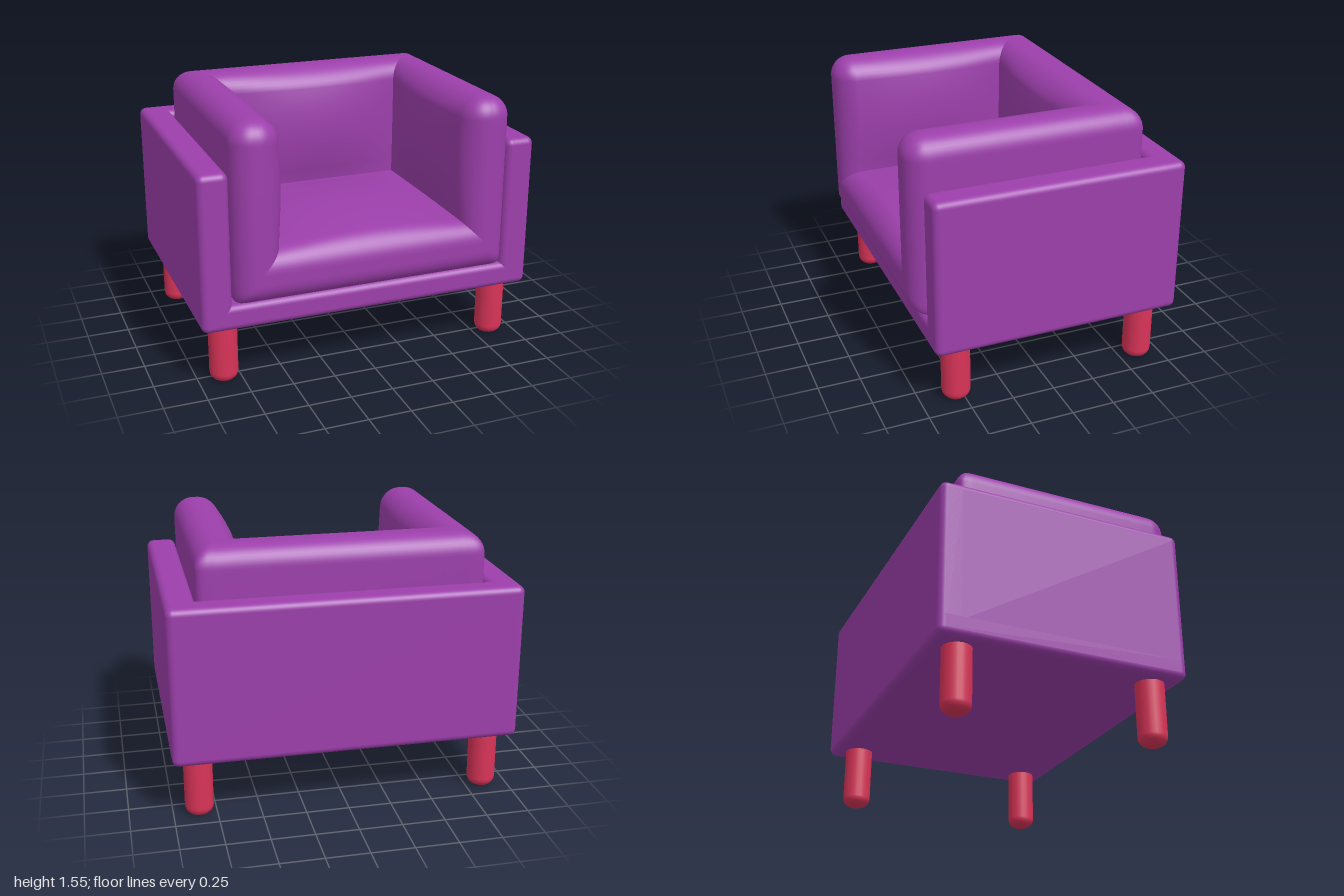
import * as THREE from 'three';
import { mergeVertices } from 'three/addons/utils/BufferGeometryUtils.js';
import { RoundedBoxGeometry } from 'three/addons/geometries/RoundedBoxGeometry.js';

const AXES = ['x', 'y', 'z'];
const CORNER = 5, MIDDLE = 12, SEGMENTS = CORNER * 2 + MIDDLE;

// Rounded block between two corners. Edges along axis "crisp" stay tight,
// and the face on axis bulge.axis swells outward within bulge.from .. bulge.to.
function cushionGeometry(min, max, radius, crisp, bulge) {
  let geo = new THREE.BoxGeometry(2, 2, 2, SEGMENTS, SEGMENTS, SEGMENTS);
  geo.deleteAttribute('normal');
  geo.deleteAttribute('uv');
  geo = mergeVertices(geo);
  const pos = geo.attributes.position;
  const v = new THREE.Vector3();

  for (let n = 0; n < pos.count; n++) {
    v.fromBufferAttribute(pos, n);
    const core = [], dir = [];
    AXES.forEach((axis, a) => {
      const i = Math.round((v[axis] + 1) / 2 * SEGMENTS);
      const over = Math.max(CORNER - i, i - CORNER - MIDDLE, 0);
      const t = THREE.MathUtils.clamp((i - CORNER) / MIDDLE, 0, 1);
      core[a] = THREE.MathUtils.lerp(min[a] + radius, max[a] - radius, t);
      dir[a] = Math.tan(over / CORNER * Math.PI / 4) * (i < CORNER ? -1 : 1);
    });
    // round off the corners; the two axes across a crisp edge use a squarer curve
    let length = Math.hypot(...dir);
    if (crisp !== null) {
      const [p, q] = [0, 1, 2].filter((a) => a !== crisp).map((a) => Math.abs(dir[a]));
      length = Math.hypot((p ** 6 + q ** 6) ** (1 / 6), dir[crisp]);
    }
    const point = core.map((c, a) => c + radius * dir[a] / length);

    // swell the padded face
    const { axis, sign, amount, from, to } = bulge;
    const mid = (min[axis] + max[axis]) / 2, half = (max[axis] - min[axis]) / 2;
    let swell = THREE.MathUtils.clamp(sign * (point[axis] - mid) / half, 0, 1);
    for (const a of [0, 1, 2]) {
      if (a === axis) continue;
      const t = (2 * point[a] - from[a] - to[a]) / (to[a] - from[a]);
      swell *= Math.max(0, 1 - t * t);
    }
    point[axis] += sign * amount * swell;
    pos.setXYZ(n, ...point);
  }
  geo.computeVertexNormals();
  return geo;
}

export function createModel() {
  const model = new THREE.Group();
  model.name = 'armchair';

  const fabric = new THREE.MeshStandardMaterial({ color: 0x9c3fab });
  fabric.name = 'purple fabric';
  const legRed = new THREE.MeshStandardMaterial({ color: 0xd93458 });
  legRed.name = 'red leg';

  function add(name, geometry, material) {
    const mesh = new THREE.Mesh(geometry, material);
    mesh.name = name;
    model.add(mesh);
    return mesh;
  }

  // Outer frame panels
  function panel(name, min, max) {
    const size = max.map((m, a) => m - min[a]);
    const mesh = add(name, new RoundedBoxGeometry(...size, 4, 0.04), fabric);
    mesh.position.set(...max.map((m, a) => (m + min[a]) / 2));
  }
  panel('frameBase', [-1, 0.365, -0.77], [1, 0.515, 0.7]);
  panel('frameBack', [-1, 0.365, -0.77], [1, 1.28, -0.605]);
  panel('frameLeft', [0.825, 0.365, -0.77], [1, 1.28, 0.7]);
  panel('frameRight', [-1, 0.365, -0.77], [-0.825, 1.28, 0.7]);

  // Padding: the swelling is limited to the open space inside the seat
  const from = [-0.55, 0.82, -0.3], to = [0.55, 1.55, 0.77];
  const radius = 0.12;
  add('seatCushion', cushionGeometry([-0.82, 0.515, -0.6], [0.82, 0.82, 0.77], radius, 2,
    { axis: 1, sign: 1, amount: 0.065, from, to }), fabric);
  add('backCushion', cushionGeometry([-0.82, 0.515, -0.6], [0.82, 1.55, -0.3], radius, 1,
    { axis: 2, sign: 1, amount: 0.065, from, to }), fabric);
  for (const [name, x0, x1, sign] of [
    ['leftArmCushion', 0.55, 0.82, -1],
    ['rightArmCushion', -0.82, -0.55, 1],
  ]) {
    add(name, cushionGeometry([x0, 0.515, -0.6], [x1, 1.55, 0.77], radius, null,
      { axis: 0, sign, amount: 0.05, from, to }), fabric);
  }

  // Round legs with softened feet
  const profile = [new THREE.Vector2(0, 0)];
  for (let i = 0; i <= 5; i++) {
    const a = i / 5 * Math.PI / 2;
    profile.push(new THREE.Vector2(0.028 + 0.055 * Math.sin(a), 0.055 * (1 - Math.cos(a))));
  }
  profile.push(new THREE.Vector2(0.083, 0.4));
  const legGeometry = new THREE.LatheGeometry(profile, 24);
  for (const [end, z] of [['front', 0.54], ['back', -0.61]]) {
    for (const [side, x] of [['Left', 0.85], ['Right', -0.85]]) {
      add(`${end}${side}Leg`, legGeometry, legRed).position.set(x, 0, z);
    }
  }
  return model;
}
